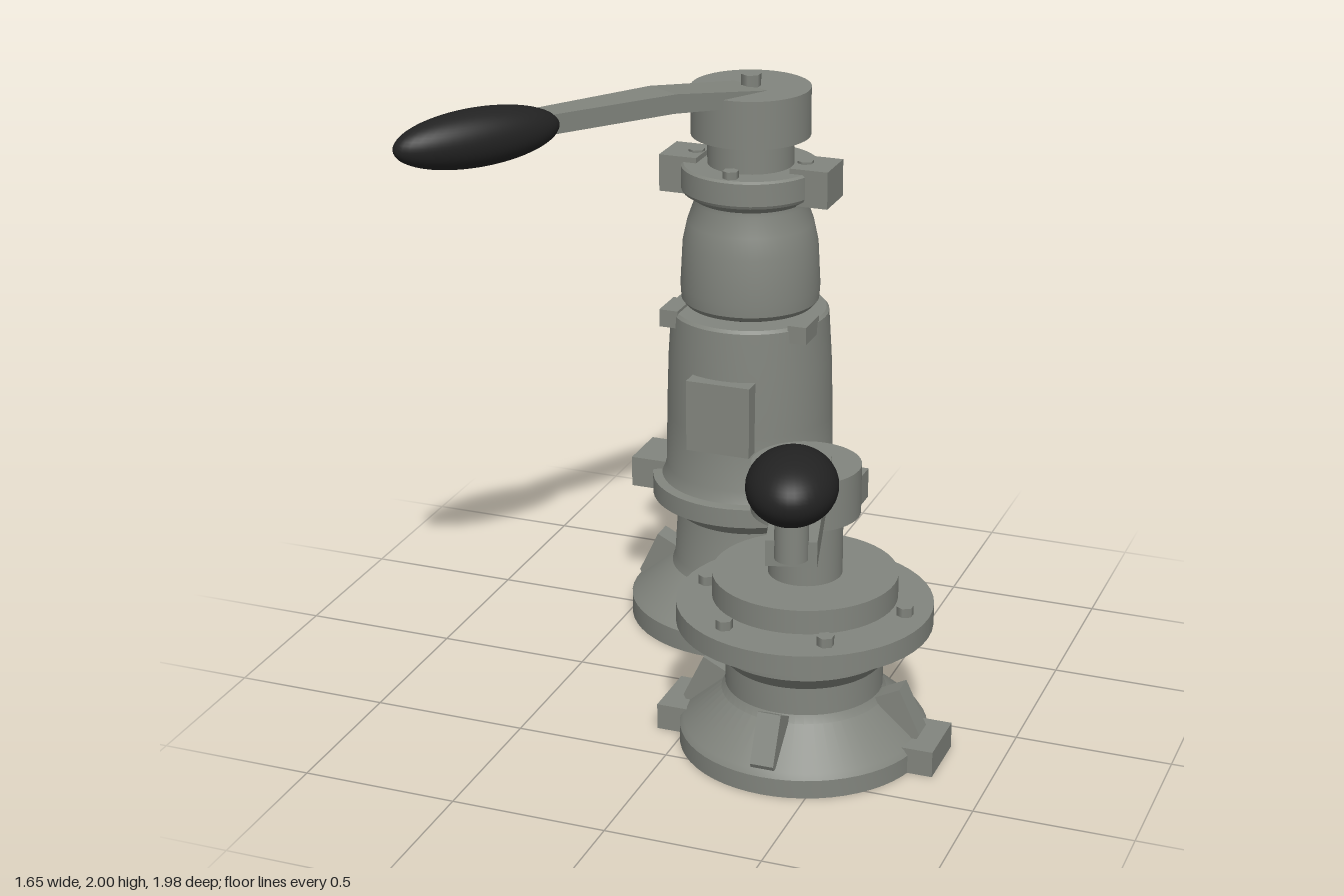
import * as THREE from 'three';
import { toCreasedNormals } from 'three/addons/utils/BufferGeometryUtils.js';

const metal = new THREE.MeshStandardMaterial({ color: 0x82857e });
metal.name = 'grey metal';
const black = new THREE.MeshStandardMaterial({ color: 0x222222 });
black.name = 'black grip';

function add(parent, name, geometry, x = 0, y = 0, z = 0, material = metal) {
  const mesh = new THREE.Mesh(geometry, material);
  mesh.name = name;
  mesh.position.set(x, y, z);
  parent.add(mesh);
  return mesh;
}

// Turned part from [radius, height] pairs, closed at both ends
function turned(parent, name, profile) {
  const first = profile[0], last = profile[profile.length - 1];
  const points = [[0, first[1]], ...profile, [0, last[1]]].map(p => new THREE.Vector2(...p));
  return add(parent, name, toCreasedNormals(new THREE.LatheGeometry(points, 56), 0.4));
}

function disc(parent, name, r, y0, y1, x = 0, z = 0, sides = 48, material = metal) {
  return add(parent, name, new THREE.CylinderGeometry(r, r, y1 - y0, sides), x, (y0 + y1) / 2, z, material);
}

function box(parent, name, w, h, d, x, y, z) {
  return add(parent, name, new THREE.BoxGeometry(w, h, d), x, y, z);
}

function bolts(parent, count, ring, y0, y1) {
  for (let i = 0; i < count; i++) {
    const a = (i / count) * Math.PI * 2;
    disc(parent, 'flangeBolt', 0.027, y0, y1, Math.cos(a) * ring, Math.sin(a) * ring, 6);
  }
}

// Four sloping ribs around the flared foot
function footRibs(parent) {
  const shape = new THREE.Shape([[0.2, 0.08], [0.385, 0.085], [0.393, 0.1], [0.325, 0.245], [0.265, 0.215], [0.2, 0.18]]
    .map(p => new THREE.Vector2(...p)));
  const geometry = new THREE.ExtrudeGeometry(shape, { depth: 0.075, bevelEnabled: false });
  geometry.translate(0, 0, -0.0375);
  for (let i = 0; i < 4; i++) add(parent, 'footRib', geometry).rotation.y = i * Math.PI / 2;
}

function ellipsoid(parent, name, rx, ry, rz, x, y, z) {
  const geometry = new THREE.SphereGeometry(1, 40, 28);
  geometry.scale(rx, ry, rz);
  return add(parent, name, geometry, x, y, z, black);
}

function tallTower() {
  const g = new THREE.Group();
  g.name = 'tallTower';
  g.position.set(-0.12, 0, -0.59);

  // Foot, collar and main body
  turned(g, 'foot', [[0.405, 0], [0.405, 0.07], [0.39, 0.085], [0.265, 0.19], [0.255, 0.22],
    [0.245, 0.39], [0.285, 0.43], [0.29, 0.45]]);
  turned(g, 'collar', [[0.33, 0.45], [0.33, 0.515], [0.3, 0.52]]);
  turned(g, 'body', [[0.3, 0.515], [0.282, 0.56], [0.28, 0.75], [0.274, 0.95], [0.264, 1.11], [0.255, 1.12]]);
  footRibs(g);
  disc(g, 'seal', 0.17, 1.11, 1.145, 0, 0, 48, black);

  // Upper body, flange and cap
  turned(g, 'upperBody', [[0.215, 1.137], [0.23, 1.155], [0.233, 1.2], [0.225, 1.35], [0.21, 1.42], [0.187, 1.485], [0.187, 1.51]]);
  turned(g, 'upperFlange', [[0.187, 1.5], [0.225, 1.525], [0.23, 1.535], [0.23, 1.61], [0.222, 1.617]]);
  disc(g, 'neck', 0.143, 1.61, 1.72);
  disc(g, 'cap', 0.197, 1.715, 1.875);
  disc(g, 'capNut', 0.033, 1.87, 1.915, 0, 0, 6);
  bolts(g, 4, 0.19, 1.61, 1.642);

  // Lugs, clips and front panel
  for (const s of [-1, 1]) {
    box(g, 'collarLug', 0.15, 0.105, 0.19, s * 0.32, 0.495, 0);
    box(g, 'flangeLug', 0.13, 0.125, 0.16, s * 0.227, 1.572, 0);
    box(g, 'bodyClip', 0.065, 0.06, 0.13, s * 0.225, 1.1, 0.11);
  }
  box(g, 'frontPanel', 0.22, 0.245, 0.1, 0, 0.823, 0.262);

  // Bent lever tapering towards the grip
  const side = new THREE.Shape([[-0.02, 1.82], [0.1, 1.835], [0.38, 1.865], [0.9, 1.885], [0.9, 1.948], [0.37, 1.927], [-0.02, 1.872]]
    .map(p => new THREE.Vector2(...p)));
  const lever = new THREE.ExtrudeGeometry(side, { depth: 1, bevelEnabled: false });
  lever.translate(0, 0, -0.5);
  const p = lever.attributes.position;
  for (let i = 0; i < p.count; i++) p.setZ(i, p.getZ(i) * (0.16 - 0.075 * p.getX(i)));
  lever.computeVertexNormals();
  add(g, 'leverArm', lever).rotation.y = Math.atan2(-0.878, -0.48);
  ellipsoid(g, 'leverGrip', 0.09, 0.09, 0.28, -0.527, 1.912, 0.96).rotation.y = -0.645;
  return g;
}

function shortTower() {
  const g = new THREE.Group();
  g.name = 'shortTower';
  g.position.set(0.366, 0, 0.238);

  // Foot, flange and spindle
  turned(g, 'foot', [[0.392, 0], [0.392, 0.06], [0.38, 0.078], [0.26, 0.185], [0.248, 0.21],
    [0.248, 0.3], [0.298, 0.352], [0.298, 0.425]]);
  disc(g, 'flange', 0.402, 0.42, 0.488);
  disc(g, 'raisedDisc', 0.29, 0.507, 0.585);
  disc(g, 'spindle', 0.116, 0.48, 0.8);
  disc(g, 'cap', 0.17, 0.79, 0.948);
  disc(g, 'capNut', 0.034, 0.945, 0.99, 0, 0, 6);
  bolts(g, 6, 0.326, 0.485, 0.518);
  footRibs(g);
  for (const s of [-1, 1]) box(g, 'footLug', 0.14, 0.085, 0.21, s * 0.387, 0.0425, 0);

  // Crank with upright knob
  const crank = new THREE.Group();
  crank.name = 'crank';
  crank.rotation.y = 0.26;
  g.add(crank);
  box(crank, 'crankArm', 0.15, 0.08, 0.655, 0, 0.916, 0.275);
  disc(crank, 'knobStem', 0.05, 0.9, 1.06, 0, 0.592, 32);
  ellipsoid(crank, 'knob', 0.134, 0.106, 0.179, 0, 1.125, 0.59);
  return g;
}

export function createModel() {
  const model = new THREE.Group();
  model.name = 'twinHandleTowers';
  model.add(tallTower(), shortTower());
  return model;
}
